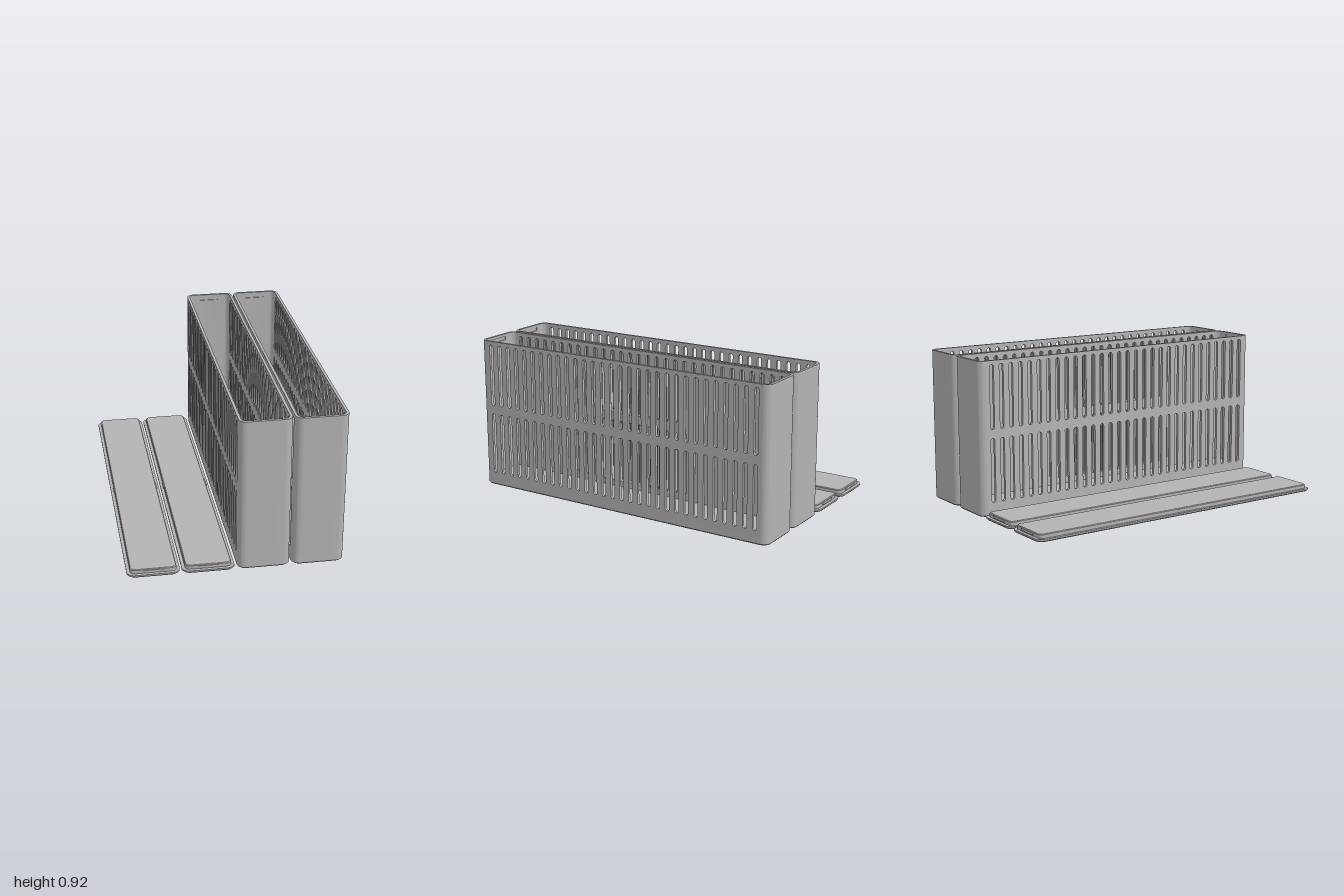
import * as THREE from 'three';
import { toCreasedNormals } from 'three/addons/utils/BufferGeometryUtils.js';

const HW = 0.15, HL = 1, R = 0.045, WALL = 0.017;   // half width, half length, corner radius, wall
const FLOOR = 0.045, TOP = 0.915, RECESS = 0.03;
const CURVE = 8;

const grey = new THREE.MeshStandardMaterial({ color: 0xb3b3b3 });
grey.name = 'grey plastic';

function mesh(geometry, name) {
  const m = new THREE.Mesh(toCreasedNormals(geometry, 0.5), grey);
  m.name = name;
  return m;
}

function roundedRect(hw, hl, r) {
  const s = new THREE.Shape();
  s.absarc(hw - r, hl - r, r, 0, Math.PI / 2);
  s.absarc(-hw + r, hl - r, r, Math.PI / 2, Math.PI);
  s.absarc(-hw + r, -hl + r, r, Math.PI, Math.PI * 1.5);
  s.absarc(hw - r, -hl + r, r, Math.PI * 1.5, Math.PI * 2);
  s.closePath();
  return s;
}

// Extrude a plan outline upward from y0 to y1
function slab(shape, y0, y1) {
  const g = new THREE.ExtrudeGeometry(shape, { depth: y1 - y0, bevelEnabled: false, curveSegments: CURVE });
  return g.rotateX(-Math.PI / 2).translate(0, y0, 0);
}

// Pull the outline inward at one level to form a chamfer; holes near the axis stay put
function chamfer(g, y, c) {
  const p = g.attributes.position;
  for (let i = 0; i < p.count; i++) {
    if (Math.abs(p.getY(i) - y) > 1e-5 || Math.abs(p.getX(i)) < 0.0955) continue;
    p.setX(i, p.getX(i) - c * Math.sign(p.getX(i)));
    p.setZ(i, p.getZ(i) * (1 - c));
  }
  return g;
}

// Round end wall in plan, with an optional shallow catch groove inside
function endOutline(groove) {
  const s = new THREE.Shape(), ri = R - WALL, zi = HL - WALL, w = 0.062, d = 0.006;
  s.absarc(HW - R, HL - R, R, 0, Math.PI / 2);
  s.absarc(-HW + R, HL - R, R, Math.PI / 2, Math.PI);
  s.lineTo(-HW + WALL, HL - R);
  s.absarc(-HW + R, HL - R, ri, Math.PI, Math.PI / 2, true);
  if (groove) {
    s.lineTo(-w, zi);
    s.lineTo(-w, zi + d);
    s.lineTo(w, zi + d);
    s.lineTo(w, zi);
  }
  s.absarc(HW - R, HL - R, ri, Math.PI / 2, 0, true);
  s.closePath();
  return s;
}

// Long wall with two rows of round-ended slots
function sideWall() {
  const s = new THREE.Shape(), e = HL - R, r = 0.013;
  s.moveTo(-e, FLOOR);
  s.lineTo(e, FLOOR);
  s.lineTo(e, TOP);
  s.lineTo(-e, TOP);
  s.closePath();
  for (const [y0, y1] of [[0.08, 0.46], [0.513, 0.893]]) {
    for (let i = 0; i < 30; i++) {
      const z = -0.92 + (i * 1.84) / 29;
      const h = new THREE.Path();
      h.absarc(z, y1 - r, r, 0, Math.PI);
      h.absarc(z, y0 + r, r, Math.PI, Math.PI * 2);
      h.closePath();
      s.holes.push(h);
    }
  }
  const g = new THREE.ExtrudeGeometry(s, { depth: WALL, bevelEnabled: false, curveSegments: CURVE });
  return g.rotateY(Math.PI / 2).translate(-WALL / 2, 0, 0);
}

function bin() {
  const group = new THREE.Group();
  group.name = 'ventilatedBin';

  // Floor with two round recesses underneath
  const pierced = () => {
    const s = roundedRect(HW, HL, R);
    for (const z of [-0.8, 0.8]) {
      const h = new THREE.Path();
      h.absarc(0, z, 0.095, 0, Math.PI * 2);
      s.holes.push(h);
    }
    return s;
  };
  group.add(mesh(chamfer(slab(pierced(), 0, 0.007), 0, 0.006), 'chamferedBase'));
  group.add(mesh(slab(pierced(), 0.007, RECESS), 'recessedFloor'));
  group.add(mesh(slab(roundedRect(HW, HL, R), RECESS, FLOOR), 'floor'));

  // Slotted long walls
  const wall = sideWall();
  for (const side of [-1, 1]) {
    const m = mesh(wall, 'slottedWall');
    m.position.x = side * (HW - WALL / 2);
    group.add(m);
  }

  // Solid rounded end walls, grooved just below the rim
  const tiers = [[FLOOR, 0.877, false], [0.877, 0.897, true], [0.897, TOP, false]];
  for (const turn of [0, Math.PI]) {
    const end = new THREE.Group();
    end.name = 'endWall';
    for (const [y0, y1, groove] of tiers) {
      end.add(mesh(slab(endOutline(groove), y0, y1), groove ? 'catchGroove' : 'endPanel'));
    }
    end.rotation.y = turn;
    group.add(end);
  }
  return group;
}

function lid() {
  const group = new THREE.Group();
  group.name = 'lid';
  const pw = HW - 0.019, pl = HL - 0.019;
  group.add(mesh(chamfer(slab(roundedRect(HW, HL, R), 0, 0.006), 0, 0.005), 'flangeChamfer'));
  group.add(mesh(slab(roundedRect(HW, HL, R), 0.006, 0.015), 'flange'));
  group.add(mesh(slab(roundedRect(pw, pl, 0.027), 0.015, 0.036), 'plug'));
  group.add(mesh(chamfer(slab(roundedRect(pw, pl, 0.027), 0.036, 0.04), 0.04, 0.004), 'plugChamfer'));

  // Snap ridges on the ends and the long sides
  for (const s of [-1, 1]) {
    const endRidge = mesh(new THREE.BoxGeometry(0.12, 0.014, 0.01), 'endSnapRidge');
    endRidge.position.set(0, 0.028, s * pl);
    const sideRidge = mesh(new THREE.BoxGeometry(0.008, 0.014, 0.07), 'sideSnapRidge');
    sideRidge.position.set(s * pw, 0.028, 0);
    group.add(endRidge, sideRidge);
  }
  return group;
}

export function createModel() {
  const model = new THREE.Group();
  model.name = 'binsWithLids';
  for (const x of [0.156, 0.467]) {
    const b = bin();
    b.position.x = x;
    const l = lid();
    l.position.x = -x - 0.002;
    model.add(b, l);
  }
  return model;
}
